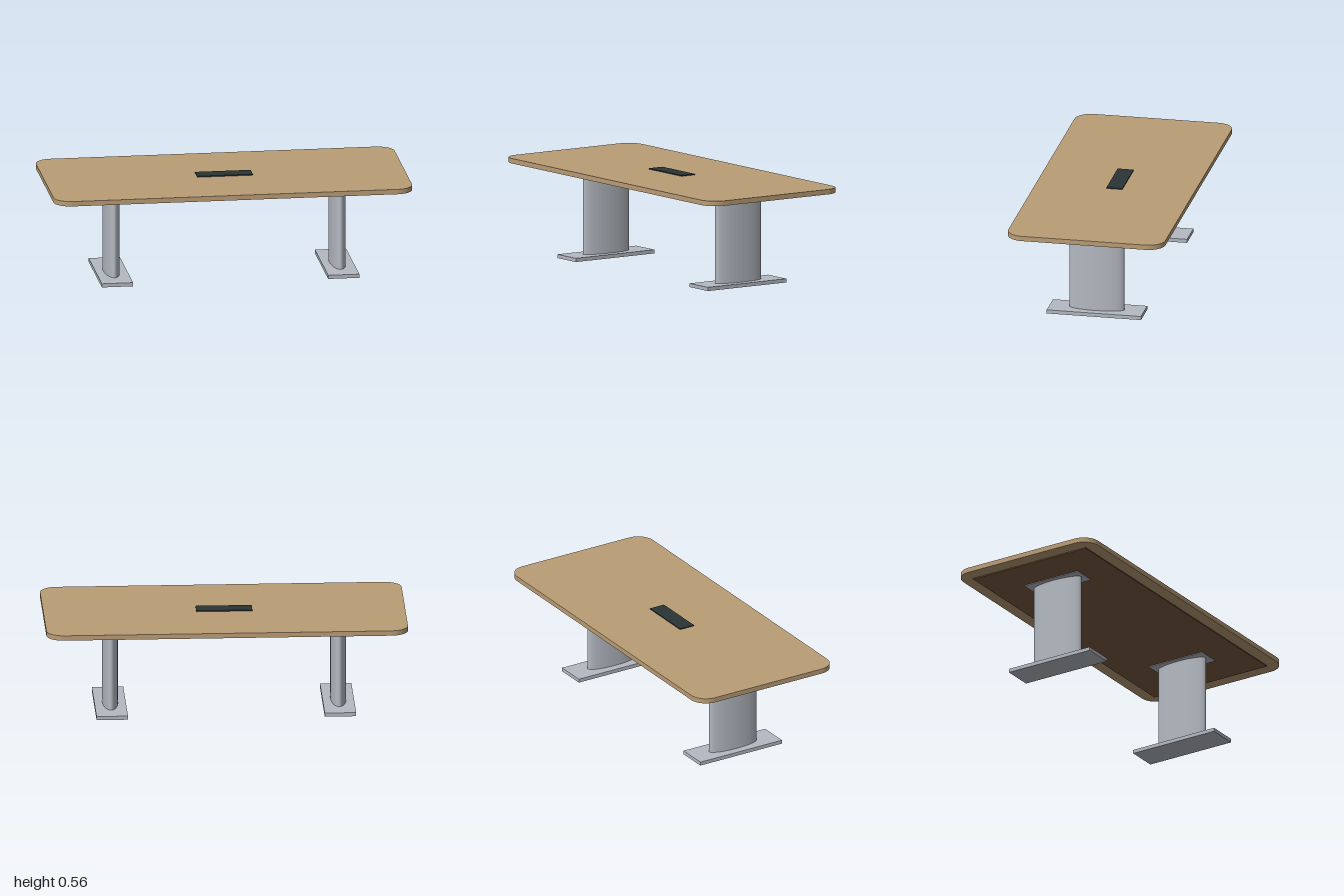
import * as THREE from 'three';

const material = (name, color) => {
  const m = new THREE.MeshStandardMaterial({ color });
  m.name = name;
  return m;
};

export function createModel() {
  const oak = material('light wood', 0xba9d76);
  const brown = material('brown underside', 0x7a5a44);
  const metal = material('silver metal', 0xb4b9c1);
  const black = material('charcoal', 0x2b3535);

  const table = new THREE.Group();
  table.name = 'conferenceTable';

  const add = (parent, name, geometry, mat, x, y, z) => {
    const mesh = new THREE.Mesh(geometry, mat);
    mesh.name = name;
    mesh.position.set(x, y, z);
    parent.add(mesh);
    return mesh;
  };
  // Box given by its bottom and top heights
  const slab = (parent, name, w, d, y0, y1, mat) =>
    add(parent, name, new THREE.BoxGeometry(w, y1 - y0, d), mat, 0, (y0 + y1) / 2, 0);

  // Table top with rounded corners
  const hx = 1, hz = 0.443, r = 0.095;
  const outline = new THREE.Shape();
  outline.absarc(hx - r, hz - r, r, 0, Math.PI / 2);
  outline.absarc(-hx + r, hz - r, r, Math.PI / 2, Math.PI);
  outline.absarc(-hx + r, -hz + r, r, Math.PI, Math.PI * 1.5);
  outline.absarc(hx - r, -hz + r, r, Math.PI * 1.5, Math.PI * 2);
  outline.closePath();
  const top = new THREE.ExtrudeGeometry(outline, { depth: 0.028, bevelEnabled: false, curveSegments: 16 });
  top.rotateX(-Math.PI / 2);
  add(table, 'tableTop', top, oak, 0, 0.521, 0);

  // Board under the top, and the power box on it
  slab(table, 'underBoard', 1.84, 0.742, 0.515, 0.521, brown);
  slab(table, 'powerBox', 0.31, 0.09, 0.549, 0.555, black);

  // Pedestals: base plate, oval column, mounting plate
  for (const side of [-1, 1]) {
    const leg = new THREE.Group();
    leg.name = side > 0 ? 'leftPedestal' : 'rightPedestal';
    leg.position.x = side * 0.631;
    slab(leg, 'basePlate', 0.174, 0.532, 0, 0.021, metal);
    const column = new THREE.CylinderGeometry(1, 1, 0.49, 48);
    column.scale(0.043, 1, 0.154);
    add(leg, 'column', column, metal, 0, 0.266, 0);
    slab(leg, 'mountPlate', 0.134, 0.352, 0.511, 0.515, metal);
    table.add(leg);
  }
  return table;
}
